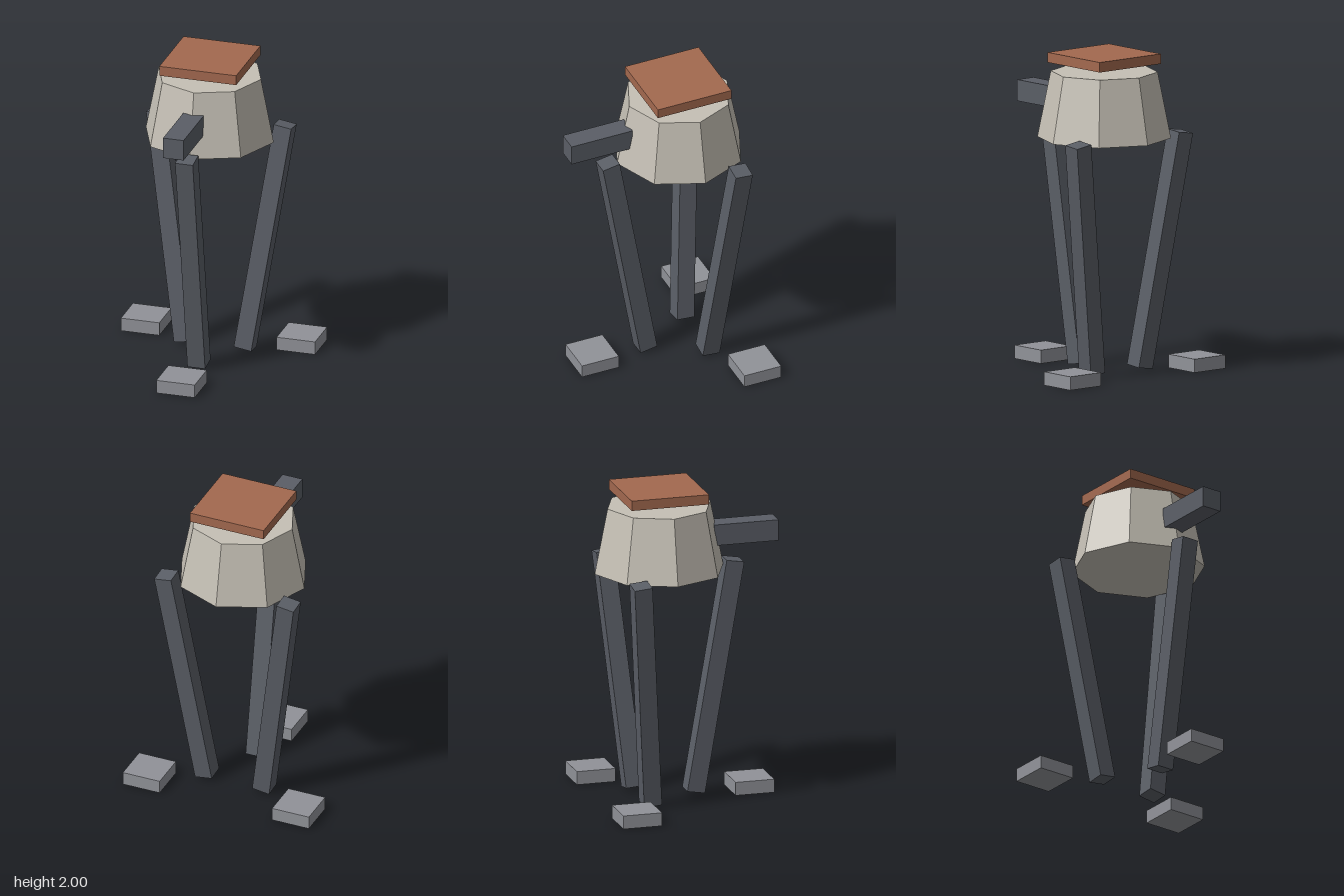
import * as THREE from 'three';

const mat = (name, color) => {
  const m = new THREE.MeshStandardMaterial({ color, flatShading: true });
  m.name = name;
  return m;
};

export function createModel() {
  const model = new THREE.Group();
  model.name = 'waterTower';

  const darkMetal = mat('dark metal', 0x5a5e66);
  const paleStone = mat('pale stone', 0x909298);
  const tankCream = mat('tank cream', 0xc5c0b5);
  const rust = mat('rust red', 0xa3694f);

  const add = (name, geometry, material, x, y, z) => {
    const mesh = new THREE.Mesh(geometry, material);
    mesh.name = name;
    mesh.position.set(x, y, z);
    model.add(mesh);
    return mesh;
  };

  const axisZ = -0.17; // centre line of the tank

  // Eight-sided tapered tank, floating lid and front spout
  add('tank', new THREE.CylinderGeometry(0.333, 0.416, 0.415, 8), tankCream, 0, 1.678, axisZ);
  add('lid', new THREE.BoxGeometry(0.5, 0.063, 0.5), rust, 0, 1.9685, axisZ);
  add('spout', new THREE.BoxGeometry(0.134, 0.134, 0.415), darkMetal, 0, 1.677, 0.3775);

  // Three splayed legs, each with a foot pad set further out
  const legGeometry = new THREE.BoxGeometry(0.115, 1.497, 0.115);
  const footGeometry = new THREE.BoxGeometry(0.25, 0.085, 0.25);
  const tilt = 0.171;
  ['front', 'backLeft', 'backRight'].forEach((side, i) => {
    const a = (i * Math.PI * 2) / 3;
    const s = Math.sin(a), c = Math.cos(a);
    const leg = add(side + 'Leg', legGeometry, darkMetal, s * 0.352, 0.759, axisZ + c * 0.352);
    leg.rotation.set(tilt * c, 0, -tilt * s);
    add(side + 'Foot', footGeometry, paleStone, s * 0.585, 0.0425, axisZ + c * 0.585);
  });

  return model;
}
